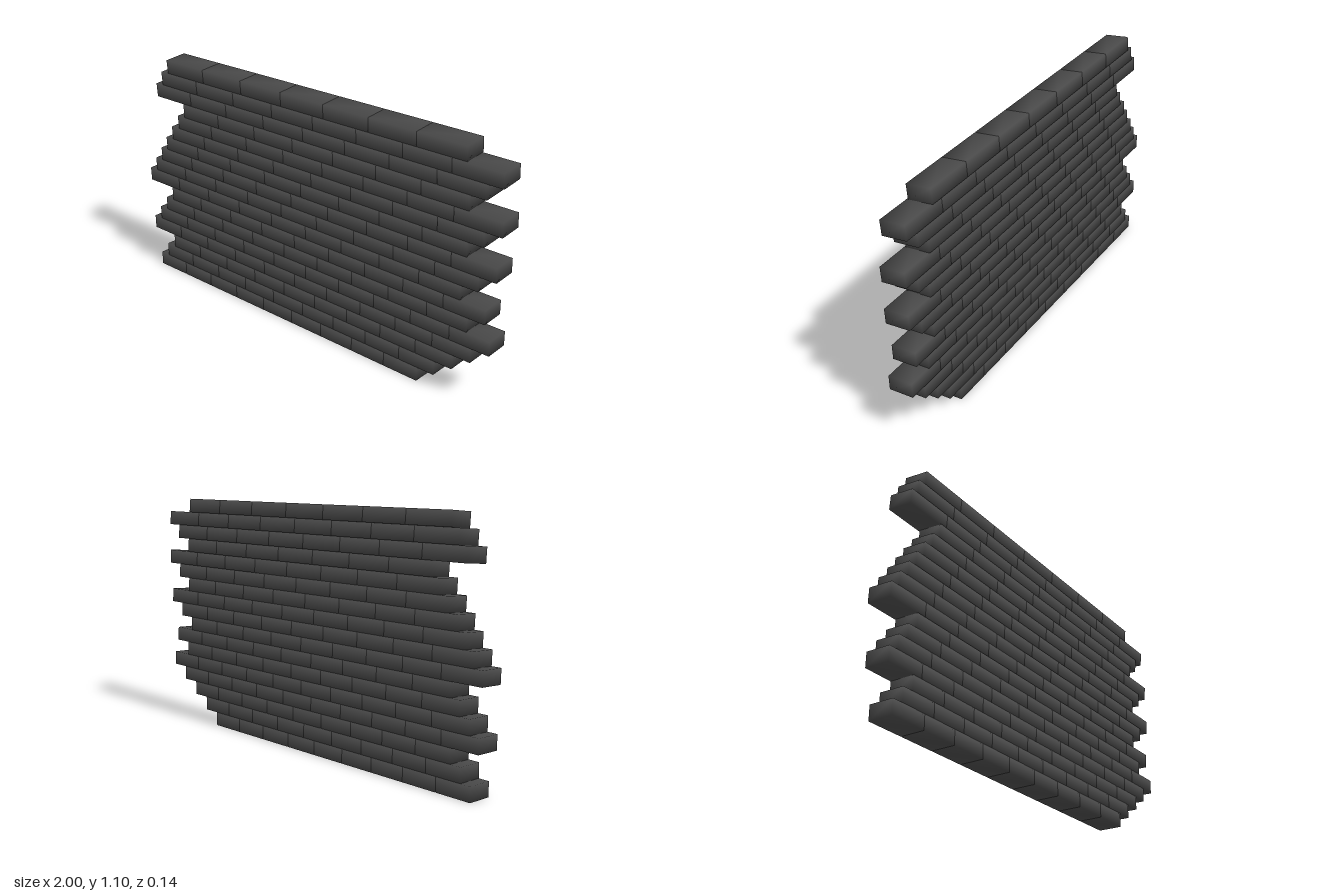
import * as THREE from 'three';
import { mergeVertices } from 'three/addons/utils/BufferGeometryUtils.js';

// Left end of each course, and its number of bricks, from the bottom up
const starts = [-0.955, -0.905, -0.852, -0.99, -0.943, -0.894, -0.846, -1.0, -0.955,
  -0.91, -0.868, -0.824, -0.777, -0.734, -0.917, -0.877, -0.835];
const counts = [9, 9, 9, 10, 10, 9, 9, 9, 9, 9, 8, 8, 8, 7, 8, 8, 7];
const COURSE = 0.0645, DEPTH = 0.109;

// Box whose corners share one softened normal
function softBox(w, h, d) {
  const g = new THREE.BoxGeometry(w, h, d);
  g.deleteAttribute('uv');
  g.deleteAttribute('normal');
  const merged = mergeVertices(g);
  merged.computeVertexNormals();
  return merged;
}

export function createModel() {
  const wall = new THREE.Group();
  wall.name = 'brickWall';
  const charcoal = new THREE.MeshStandardMaterial({ color: 0x4a4a4a });
  charcoal.name = 'charcoal';

  starts.forEach((start, i) => {
    const t = i / (starts.length - 1);
    const pitch = 0.1788 + 0.0036 * i; // bricks lengthen towards the top
    const geometry = softBox(pitch - 0.003, COURSE, DEPTH);

    // Each course turns and leans a little more than the one below
    const course = new THREE.Group();
    course.name = `course${i + 1}`;
    course.position.set(start, COURSE * (i + 0.5), 0.0125);
    course.rotation.set(0, 0.0145 * t, -0.003 * t);

    for (let k = 0; k < counts[i]; k++) {
      const brick = new THREE.Mesh(geometry, charcoal);
      brick.name = 'brick';
      brick.position.x = pitch * (k + 0.5);
      brick.rotation.x = 0.085 * t;
      course.add(brick);
    }
    wall.add(course);
  });
  return wall;
}
